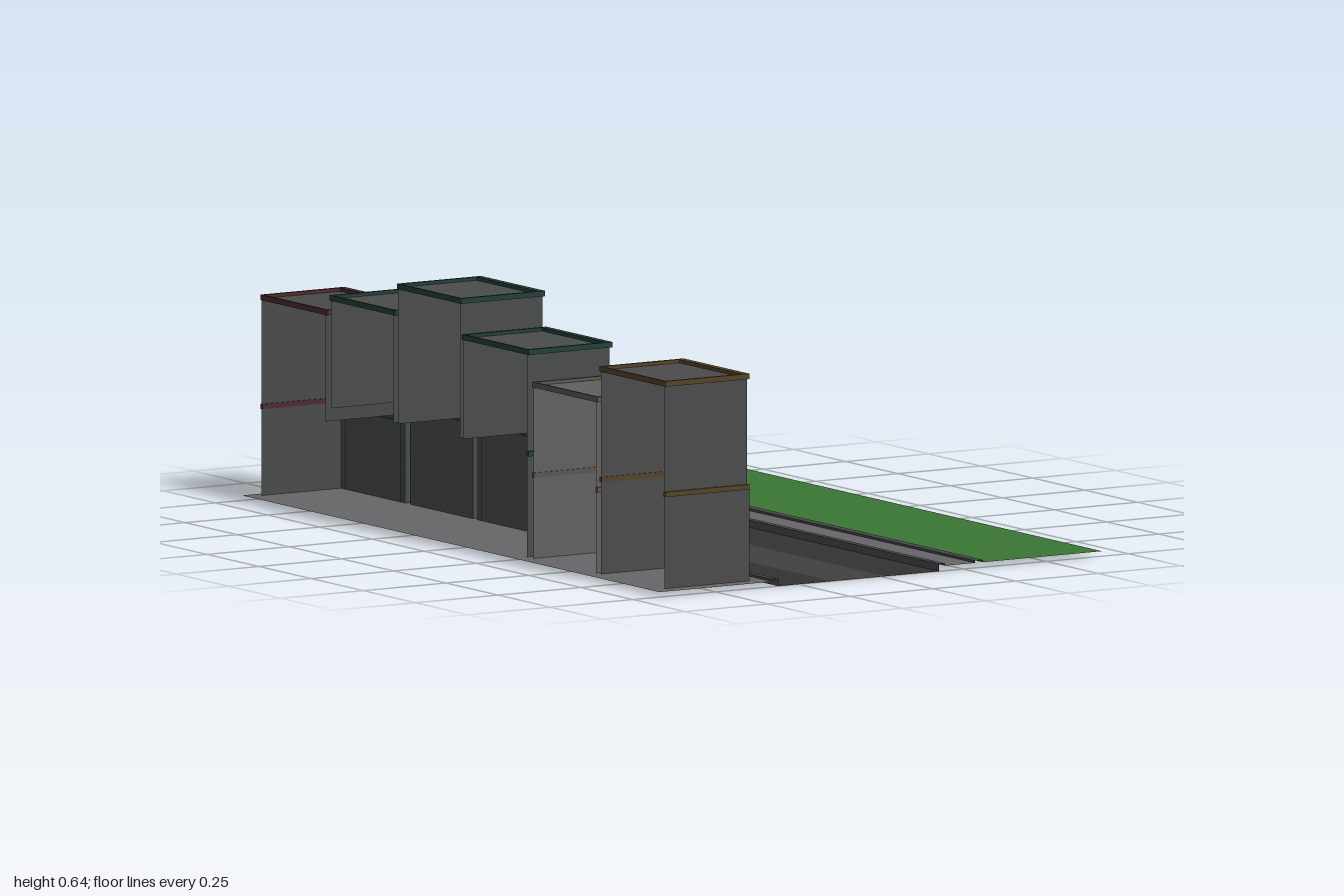
import * as THREE from 'three';

const BASE = 0.013, BACK = -0.628, FRONT = -0.388;
const mats = {};
const mat = (color) => (mats[color] ??= new THREE.MeshStandardMaterial({ color, side: THREE.DoubleSide }));

// Box given by its limits on each axis
function box(parent, name, color, x0, x1, y0, y1, z0, z1) {
  const m = new THREE.Mesh(new THREE.BoxGeometry(x1 - x0, y1 - y0, z1 - z0), mat(color));
  m.position.set((x0 + x1) / 2, (y0 + y1) / 2, (z0 + z1) / 2);
  m.name = name;
  parent.add(m);
  return m;
}

// Thin sheet between two (x, y) points, drawn out along z
function strip(parent, name, color, a, b, z0, z1) {
  const dx = b[0] - a[0], dy = b[1] - a[1];
  const g = new THREE.PlaneGeometry(Math.hypot(dx, dy), z1 - z0).rotateX(-Math.PI / 2);
  g.rotateZ(Math.atan2(dy, dx));
  const m = new THREE.Mesh(g, mat(color));
  m.position.set((a[0] + b[0]) / 2, (a[1] + b[1]) / 2, (z0 + z1) / 2);
  m.name = name;
  parent.add(m);
}

// Upright sheet facing along z
function sideWall(parent, name, color, y0, y1, z) {
  const m = new THREE.Mesh(new THREE.PlaneGeometry(FRONT - BACK, y1 - y0), mat(color));
  m.position.set((BACK + FRONT) / 2, (y0 + y1) / 2, z);
  m.name = name;
  parent.add(m);
}

// Rows of slats inside a frame
function shutter(parent, color, y0, y1, z0, z1, rows) {
  const g = new THREE.Group();
  g.name = 'shutter';
  strip(g, 'shutterPanel', color, [FRONT + 0.003, y0], [FRONT + 0.003, y1], z0, z1);
  const step = (y1 - y0) / rows;
  for (let i = 0; i < rows; i++)
    strip(g, 'slat', color, [FRONT + 0.012, y0 + i * step], [FRONT + 0.004, y0 + (i + 0.85) * step], z0, z1);
  for (const z of [z0, z1]) box(g, 'shutterJamb', color, FRONT, FRONT + 0.013, y0, y1, z - 0.003, z + 0.003);
  box(g, 'shutterHead', color, FRONT, FRONT + 0.013, y1 - 0.003, y1 + 0.003, z0, z1);
  parent.add(g);
}

// Pane with a grid of bars
function barredWindow(parent, pane, bar, y0, y1, z0, z1, cols, rows) {
  const g = new THREE.Group();
  g.name = 'barredWindow';
  strip(g, 'pane', pane, [FRONT + 0.004, y0], [FRONT + 0.004, y1], z0, z1);
  for (let i = 0; i <= cols; i++) {
    const z = z0 + (i / cols) * (z1 - z0);
    box(g, 'verticalBar', bar, FRONT + 0.012, FRONT + 0.017, y0, y1, z - 0.0018, z + 0.0018);
  }
  for (let i = 0; i <= rows; i++) {
    const y = y0 + (i / rows) * (y1 - y0);
    box(g, 'crossBar', bar, FRONT, FRONT + 0.016, y - 0.002, y + 0.002, z0, z1);
  }
  parent.add(g);
}

// Rounded ledge with two brackets under it
function ledge(parent, color, y, z0, z1, reach) {
  const r = 0.018, s = new THREE.Shape();
  s.moveTo(FRONT, -z0);
  s.lineTo(reach - r, -z0);
  s.quadraticCurveTo(reach, -z0, reach, -z0 - r);
  s.lineTo(reach, -z1 + r);
  s.quadraticCurveTo(reach, -z1, reach - r, -z1);
  s.lineTo(FRONT, -z1);
  const m = new THREE.Mesh(new THREE.ExtrudeGeometry(s, { depth: 0.007, bevelEnabled: false, curveSegments: 5 }).rotateX(-Math.PI / 2), mat(color));
  m.position.y = y;
  m.name = 'ledge';
  parent.add(m);
  for (const z of [z0 + 0.02, z1 - 0.02])
    box(parent, 'ledgeBracket', 0x222222, FRONT, reach - 0.012, y - 0.015, y, z - 0.003, z + 0.003);
}

// Trim running round the front and sides, and the back when closed
function band(parent, name, color, y, h, z0, z1, sides) {
  const o = 0.006, x1 = FRONT + 0.014;
  box(parent, name, color, FRONT - 0.004, x1, y - h / 2, y + h / 2, z0 - o, z1 + o);
  if (sides.back) box(parent, name, color, BACK, BACK + 0.006, y - h / 2, y + h / 2, z0, z1);
  if (sides.low) box(parent, name, color, BACK, x1, y - h / 2, y + h / 2, z0 - o, z0 + 0.003);
  if (sides.high) box(parent, name, color, BACK, x1, y - h / 2, y + h / 2, z1 - 0.003, z1 + o);
}

const HOUSES = [
  { z0: -0.972, z1: -0.665, top: 0.525, mid: 0.243, wall: 0x484a4a, trim: 0x4c2a2e, door: 0x1f3a22, low: true, high: false, upper: 'grid' },
  { z0: -0.64, z1: -0.34, top: 0.565, mid: 0.28, wall: 0x4a4c4b, trim: 0x233f38, door: 0x3a2a48, low: false, high: false, upper: 'pair' },
  { z0: -0.318, z1: -0.022, top: 0.635, mid: 0.28, wall: 0x4a4c4b, trim: 0x233f38, door: 0x3a2a48, low: false, high: false, upper: 'louvre' },
  { z0: -0.005, z1: 0.3, top: 0.543, mid: 0.28, wall: 0x4a4c4b, trim: 0x233f38, door: 0x3a2a48, low: false, high: true, upper: 'pair' },
  { z0: 0.33, z1: 0.63, top: 0.462, mid: 0.228, wall: 0x606060, trim: 0x5c5650, door: 0x6a6a6a, low: true, high: true, upper: 'shutter' },
  { z0: 0.653, z1: 0.957, top: 0.543, mid: 0.257, wall: 0x4b4b4b, trim: 0x55432a, door: 0x263544, low: true, high: true, upper: 'wide' },
];

function house(d) {
  const g = new THREE.Group();
  g.name = 'terraceHouse';
  const { z0, z1, top, mid, wall, trim } = d;
  // Shell, open at the rear
  strip(g, 'frontWall', wall, [FRONT, BASE], [FRONT, top], z0, z1);
  strip(g, 'roof', wall, [BACK, top - 0.002], [FRONT + 0.006, top - 0.002], z0, z1);
  sideWall(g, 'sideWall', wall, d.low ? BASE : mid, top, z0);
  sideWall(g, 'sideWall', wall, d.high ? BASE : mid, top, z1);
  band(g, 'roofTrim', trim, top, 0.014, z0, z1, { back: true, low: true, high: true });
  band(g, 'floorTrim', trim, mid, 0.013, z0, z1, { low: d.low, high: d.high });
  // Ground floor shutter between pilasters
  shutter(g, d.door, BASE, mid - 0.02, z0 + 0.02, z1 - 0.02, 7);
  for (const z of [z0, z1 - 0.014]) box(g, 'pilaster', wall, FRONT, FRONT + 0.018, BASE, mid, z, z + 0.014);
  for (const z of [z0, z1 - 0.008]) box(g, 'cornerStrip', wall, FRONT, FRONT + 0.01, mid, top, z, z + 0.008);
  // Upper floor
  const w = z1 - z0, c = (z0 + z1) / 2;
  if (d.upper === 'pair') for (const s of [-1, 1]) {
    const m = c + s * 0.07, b = mid + 0.05;
    barredWindow(g, 0x565858, 0x1c1c1c, b + 0.015, top - 0.042, m - 0.046, m + 0.046, 5, 4);
    ledge(g, 0x54391c, b - 0.005, m - 0.054, m + 0.054, -0.345);
    box(g, 'ledgeRail', 0x222222, -0.352, -0.348, b + 0.018, b + 0.023, m - 0.05, m + 0.05);
  }
  if (d.upper === 'grid') for (const s of [-1, 0, 1])
    barredWindow(g, 0x4c4446, 0x5c4a4c, mid + 0.025, top - 0.025, c + s * 0.085 - 0.036, c + s * 0.085 + 0.036, 3, 6);
  if (d.upper === 'louvre') {
    shutter(g, 0x5c5c5c, mid + 0.015, mid + 0.155, z0 + 0.015, z1 - 0.015, 9);
    shutter(g, 0x5c5c5c, mid + 0.2, top - 0.02, z0 + 0.015, z1 - 0.015, 8);
  }
  if (d.upper === 'shutter') shutter(g, 0x707070, mid + 0.055, top - 0.022, z0 + 0.035, z1 - 0.035, 8);
  if (d.upper === 'wide') {
    shutter(g, 0x4e4b50, mid + 0.115, top - 0.03, z0 + 0.02, z0 + w - 0.03, 6);
    ledge(g, 0x54391c, mid + 0.1, z0 + 0.022, z1 - 0.035, -0.355);
  }
  return g;
}

export function createModel() {
  const root = new THREE.Group();
  root.name = 'street';

  // Ground strips from the houses across to the grass
  const ground = new THREE.Group();
  ground.name = 'ground';
  const K = 0.019;
  const strips = [
    ['pavement', 0x666668, [-0.67, BASE], [-0.328, BASE]],
    ['kerbStep', 0x484848, [-0.328, BASE], [-0.328, K]],
    ['kerbTop', 0x484848, [-0.328, K], [-0.31, K]],
    ['kerbFace', 0x484848, [-0.31, K], [-0.31, 0]],
    ['roadLane', 0x323232, [-0.31, 0], [-0.147, 0]],
    ['roadCentre', 0x414141, [-0.147, 0], [0.015, 0]],
    ['roadLane', 0x323232, [0.015, 0], [0.177, 0]],
    ['kerbFace', 0x484848, [0.177, 0], [0.177, K]],
    ['kerbTop', 0x484848, [0.177, K], [0.195, K]],
    ['kerbStep', 0x484848, [0.195, K], [0.195, BASE]],
    ['footpath', 0x666668, [0.195, BASE], [0.285, BASE]],
    ['kerbStep', 0x484848, [0.285, BASE], [0.285, K]],
    ['kerbTop', 0x484848, [0.285, K], [0.31, K]],
    ['kerbStep', 0x484848, [0.31, K], [0.31, BASE]],
    ['grass', 0x3a7636, [0.31, BASE], [0.67, BASE]],
  ];
  for (const [name, color, a, b] of strips) strip(ground, name, color, a, b, -1, 1);
  root.add(ground);

  for (const d of HOUSES) root.add(house(d));
  return root;
}
